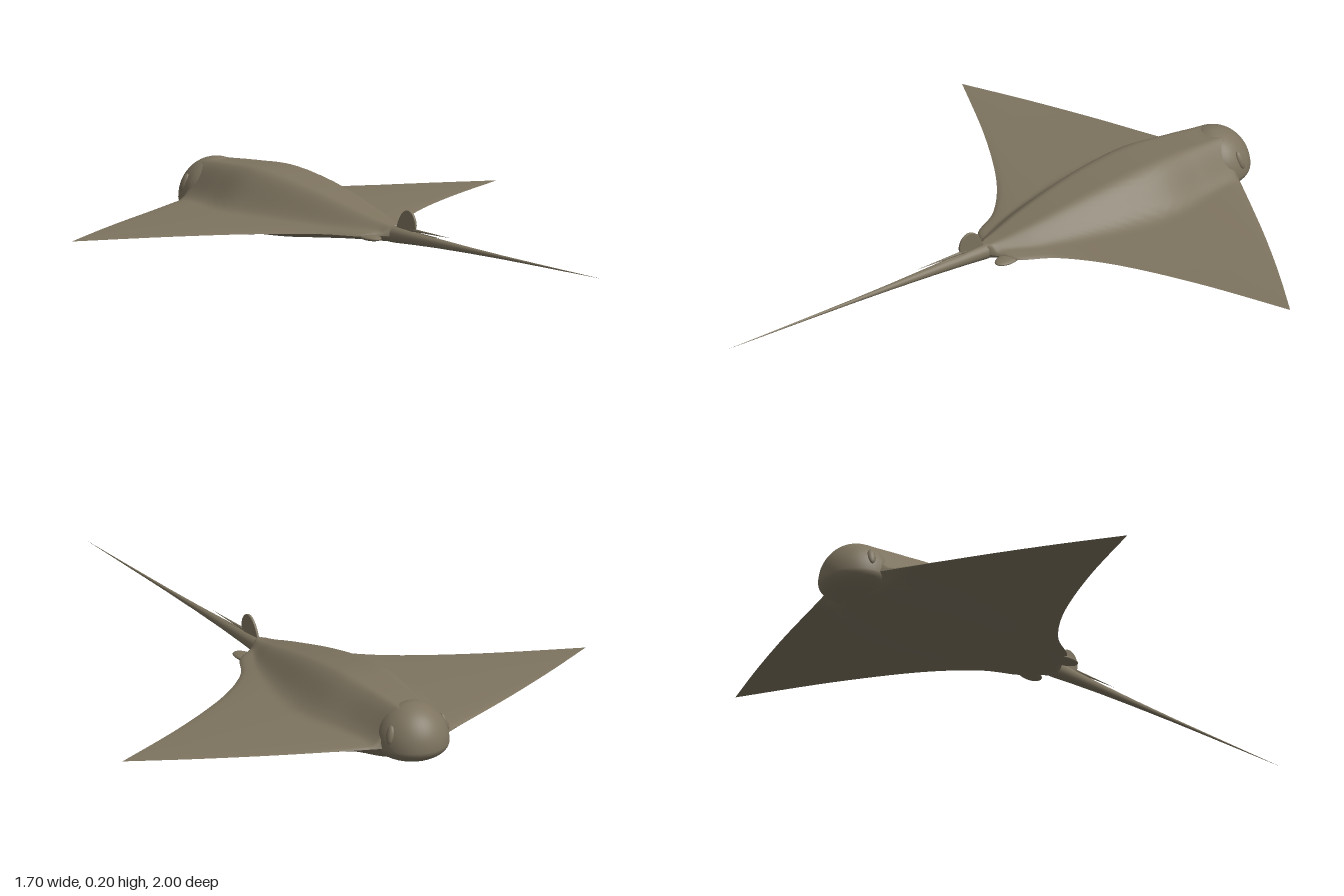
import * as THREE from 'three';

const BASE = 0.07, SPAN = 0.85;
const V2 = (x, y) => new THREE.Vector2(x, y);

// Smooth profile with values at z = -0.9, -0.75 ... 0
function profile(values) {
  const curve = new THREE.SplineCurve(values.map((v, i) => V2(i, v)));
  return z => curve.getPoint(THREE.MathUtils.clamp((z + 0.9) / 0.9, 0, 1)).y;
}
const backY = profile([0.188, 0.198, 0.204, 0.19, 0.165, 0.132, 0.1]);
const bellyY = profile([0.014, 0.005, 0.001, 0.009, 0.026, 0.042, 0.05]);
const humpW = profile([0.14, 0.17, 0.205, 0.195, 0.16, 0.11, 0.04]);

// Disc outline (half width, z): leading edge to wing tip, trailing edge to tail root
const leading = new THREE.SplineCurve([
  V2(0.105, -0.9), V2(0.28, -0.825), V2(0.46, -0.745), V2(0.66, -0.648), V2(SPAN, -0.548)]);
const trailing = new THREE.SplineCurve([
  V2(SPAN, -0.548), V2(0.56, -0.418), V2(0.32, -0.285), V2(0.175, -0.165), V2(0.11, -0.06),
  V2(0.06, -0.025), V2(0.026, 0)]);

// One skin of the disc: side = 1 for the back, -1 for the belly
function discSkin(side) {
  const rows = [...leading.getPoints(28), ...trailing.getPoints(44).slice(1)];
  const N = 32, cols = 2 * N + 1, pos = [], idx = [];
  rows.forEach(({ x: W, y: z }, r) => {
    const crest = side > 0 ? backY(z) - BASE : BASE - bellyY(z);
    const w = Math.min(humpW(z) * (side > 0 ? 1 : 1.5), W);
    for (let c = 0; c < cols; c++) {
      const s = (c - N) / N, u = Math.abs(s) ** 1.7, x = W * u;
      const wing = (side > 0 ? 0.025 : 0.015) * (1 - x / SPAN) * Math.sqrt(1 - u);
      const fall = 1 - THREE.MathUtils.smoothstep(x, w * (side > 0 ? 0.28 : 0.12), w);
      pos.push(Math.sign(s) * x, BASE + side * (wing + Math.max(0, crest - wing) * fall), z);
      if (r < rows.length - 1 && c < cols - 1) {
        const a = r * cols + c, b = a + cols;
        if (side > 0) idx.push(a, b, a + 1, a + 1, b, b + 1);
        else idx.push(a, a + 1, b, a + 1, b + 1, b);
      }
    }
  });
  const g = new THREE.BufferGeometry();
  g.setAttribute('position', new THREE.Float32BufferAttribute(pos, 3));
  g.setIndex(idx);
  g.computeVertexNormals();
  return g;
}

// Blunt head: sphere with a tall crown, shallow chin and short hidden back
function headGeometry() {
  const g = new THREE.SphereGeometry(1, 40, 28), p = g.attributes.position;
  for (let i = 0; i < p.count; i++) {
    const x = p.getX(i), y = p.getY(i), z = p.getZ(i);
    p.setXYZ(i, x * 0.118, BASE + y * (y > 0 ? 0.127 : 0.055), -0.88 + z * (z < 0 ? 0.12 : 0.1));
  }
  g.computeVertexNormals();
  return g;
}

export function createModel() {
  const group = new THREE.Group();
  const skin = new THREE.MeshStandardMaterial({ color: 0x7d735f });
  skin.name = 'olive brown skin';
  const add = (name, geometry, x = 0, y = 0, z = 0) => {
    const m = new THREE.Mesh(geometry, skin);
    m.name = name;
    m.position.set(x, y, z);
    group.add(m);
    return m;
  };

  add('backAndWings', discSkin(1));
  add('bellyAndWings', discSkin(-1));
  add('head', headGeometry());

  // Paired eyes and pelvic fins
  for (const s of [1, -1]) {
    const eye = add(s > 0 ? 'leftEye' : 'rightEye', new THREE.SphereGeometry(1, 20, 14), s * 0.1, 0.12, -0.915);
    eye.scale.set(0.01, 0.03, 0.014);
    eye.rotation.set(0.12, s * 0.3, s * 0.3);
    const fin = add(s > 0 ? 'leftPelvicFin' : 'rightPelvicFin', new THREE.SphereGeometry(1, 24, 14), s * 0.074, 0.066, -0.035);
    fin.scale.set(0.028, 0.009, 0.05);
    fin.rotation.y = s * 0.15;
  }

  // Whip tail
  const tail = new THREE.LatheGeometry([
    V2(0, -0.06), V2(0.026, -0.04), V2(0.026, 0), V2(0.021, 0.08), V2(0.015, 0.2),
    V2(0.01, 0.35), V2(0.006, 0.52), V2(0.0035, 0.7), V2(0, 1)], 20);
  tail.rotateX(Math.PI / 2);
  add('tail', tail, 0, 0.072, 0);

  // Rounded dorsal fin leaning back at the tail root
  const fin = new THREE.Shape();
  fin.moveTo(0.0, 0.08);
  fin.bezierCurveTo(0.015, 0.12, 0.03, 0.155, 0.062, 0.155);
  fin.bezierCurveTo(0.085, 0.153, 0.1, 0.125, 0.095, 0.105);
  fin.lineTo(0.07, 0.08);
  const finGeo = new THREE.ExtrudeGeometry(fin, {
    depth: 0.002, bevelEnabled: true, bevelThickness: 0.003, bevelSize: 0.002, bevelSegments: 2, curveSegments: 14 });
  finGeo.translate(0, 0, -0.001);
  finGeo.rotateY(-Math.PI / 2);
  add('dorsalFin', finGeo);

  // Tail spines behind the dorsal fin
  for (const [name, y, z, len] of [['upperSpine', 0.097, 0.17, 0.19], ['lowerSpine', 0.089, 0.14, 0.16]]) {
    const cone = new THREE.ConeGeometry(0.005, len, 8);
    cone.rotateX(Math.PI / 2);
    add(name, cone, 0, y, z);
  }
  return group;
}
